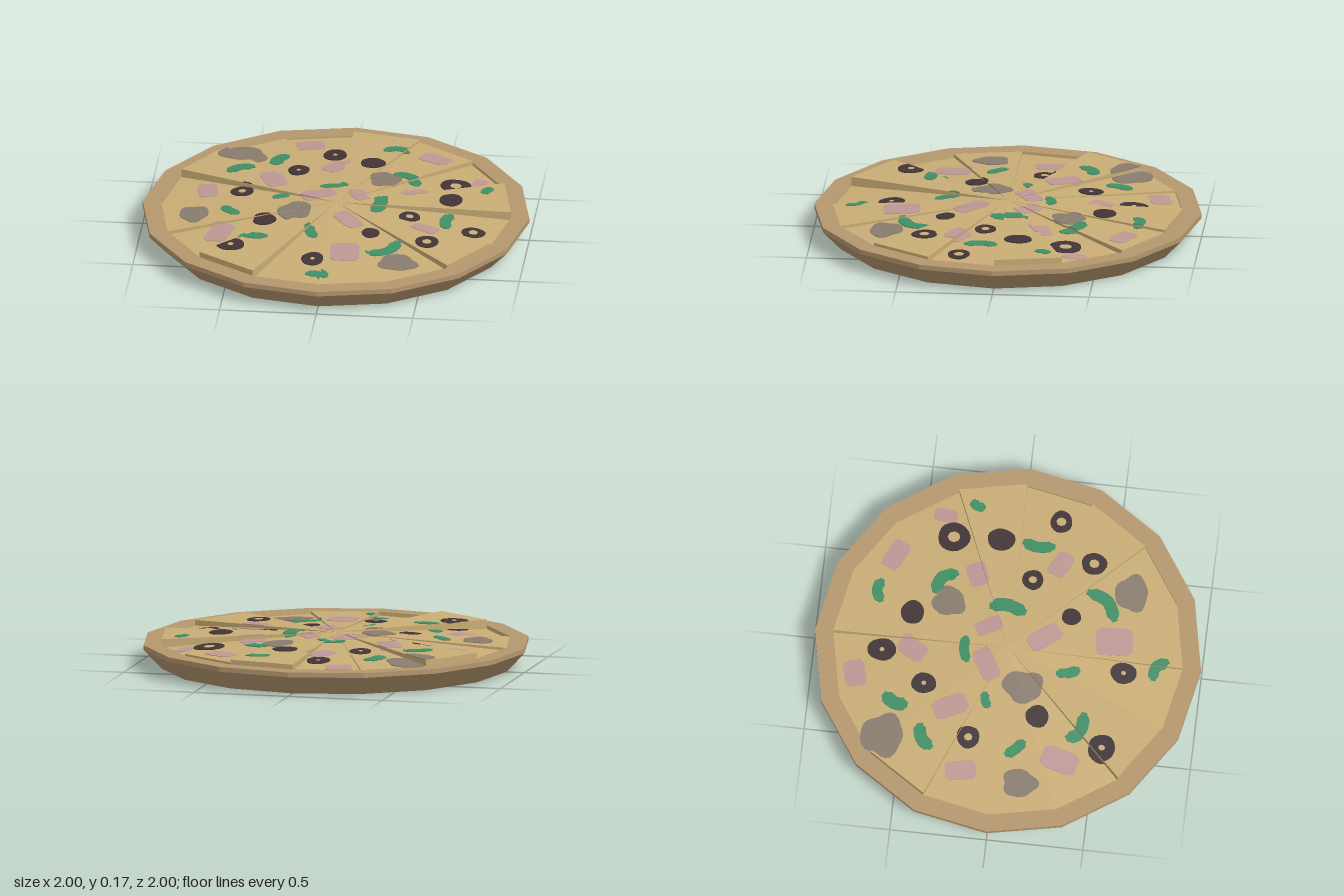
import * as THREE from 'three';
import { mergeGeometries } from 'three/addons/utils/BufferGeometryUtils.js';

const SIDES = 16, STEP = Math.PI * 2 / SIDES, R = 0.905, PEAK = 0.17, RIM = 0.125;
// Height of the outer edge of each slice, going round from +x towards +z
const EDGE = [0.11, 0.14, 0.11, 0.125, 0.105, 0.155, 0.105, 0.125,
  0.11, 0.155, 0.125, 0.115, 0.15, 0.135, 0.11, 0.155];

const material = (name, color) => {
  const m = new THREE.MeshStandardMaterial({ color, side: THREE.DoubleSide });
  m.name = name;
  return m;
};

const mesh = (name, geometry, mat) => {
  const m = new THREE.Mesh(geometry, mat);
  m.name = name;
  return m;
};

const corner = (k, y) => [R * Math.cos(k * STEP), y, R * Math.sin(k * STEP)];

// Height of the tilted plane of one slice
function sliceHeight(s, x, z) {
  const mid = (s + 0.5) * STEP;
  const t = (x * Math.cos(mid) + z * Math.sin(mid)) / (R * Math.cos(STEP / 2));
  return PEAK + (EDGE[s] - PEAK) * t;
}

// Wedge top, step to the previous slice, and step to the rim
function sliceGeometry(s) {
  const apex = [0, PEAK, 0], h = EDGE[s], prev = EDGE[(s + SIDES - 1) % SIDES];
  const a = corner(s, h), b = corner(s + 1, h);
  const c = corner(s, RIM), d = corner(s + 1, RIM);
  const tris = [apex, b, a, apex, corner(s, prev), a, a, b, d, a, d, c];
  const g = new THREE.BufferGeometry();
  g.setAttribute('position', new THREE.Float32BufferAttribute(tris.flat(), 3));
  g.computeVertexNormals();
  return g;
}

// Keep the part of a polygon where the signed distance is positive
function clip(poly, side) {
  const out = [];
  poly.forEach((p, i) => {
    const q = poly[(i + 1) % poly.length], dp = side(p), dq = side(q);
    if (dp >= 0) out.push(p);
    if (dp * dq < 0) out.push(p.clone().lerp(q, dp / (dp - dq)));
  });
  return out;
}

// Cut an outline at the slice borders and lay thin plates on the slices
function plates(poly, thick) {
  const parts = [];
  for (let s = 0; s < SIDES; s++) {
    const a = s * STEP, b = a + STEP;
    let piece = clip(poly, p => p.y * Math.cos(a) - p.x * Math.sin(a));
    piece = clip(piece, p => p.x * Math.sin(b) - p.y * Math.cos(b));
    if (piece.length < 3 || Math.abs(THREE.ShapeUtils.area(piece)) < 1e-5) continue;
    const shape = new THREE.Shape(piece.map(p => new THREE.Vector2(p.x, -p.y)));
    const g = new THREE.ExtrudeGeometry(shape, { depth: thick, bevelEnabled: false });
    g.rotateX(-Math.PI / 2);
    const pos = g.attributes.position;
    for (let i = 0; i < pos.count; i++) {
      pos.setY(i, pos.getY(i) - thick / 2 + sliceHeight(s, pos.getX(i), pos.getZ(i)));
    }
    g.computeVertexNormals();
    parts.push(g);
  }
  return parts;
}

// Closed outline around a centre; wobble gives a lumpy edge
function blob(x, z, rx, rz, wobble, n = 20, seed = 0) {
  return Array.from({ length: n }, (_, i) => {
    const t = i / n * Math.PI * 2;
    const r = 1 + wobble * (Math.sin(3 * t + seed) + 0.6 * Math.sin(5 * t + 2 * seed));
    return new THREE.Vector2(x + rx * r * Math.cos(t), z + rz * r * Math.sin(t));
  });
}

// Rectangle with cut corners
function chunk(x, z, w, d, deg) {
  const o = new THREE.Vector2();
  const e = 0.72;
  return [[-1, -e], [-e, -1], [e, -1], [1, -e], [1, e], [e, 1], [-e, 1], [-1, e]].map(([u, v]) =>
    new THREE.Vector2(u * w / 2, v * d / 2).rotateAround(o, deg * Math.PI / 180)
      .add(new THREE.Vector2(x, z)));
}

// Curved strip with rounded ends through three points
function strip(x0, z0, x1, z1, x2, z2, width) {
  const curve = new THREE.SplineCurve([[x0, z0], [x1, z1], [x2, z2]].map(p => new THREE.Vector2(...p)));
  const left = [], right = [], n = 10;
  for (let i = 0; i <= n; i++) {
    const t = i / n, p = curve.getPoint(t), d = curve.getTangent(t);
    const w = width / 2 * Math.max(0.45, Math.min(1, Math.sin(Math.PI * t) * 1.8));
    left.push(new THREE.Vector2(p.x - d.y * w, p.y + d.x * w));
    right.unshift(new THREE.Vector2(p.x + d.y * w, p.y - d.x * w));
  }
  return [...left, ...right];
}

export function createModel() {
  const group = new THREE.Group();
  const crustMat = material('crust brown', 0xb5976e);
  const cheeseMat = material('cheese tan', 0xc9ad75);
  const oliveMat = material('olive black', 0x413437);
  const pepperMat = material('pepper green', 0x3f8f66);
  const hamMat = material('ham pink', 0xbd9894);
  const mushroomMat = material('mushroom grey', 0x887c6e);

  // Crust: open shell with a flaring wall and a flat rim
  const profile = [[0.905, 0], [1, 0.1], [1, RIM], [R, RIM]].map(p => new THREE.Vector2(...p));
  const crust = new THREE.LatheGeometry(profile, SIDES).toNonIndexed();
  crust.computeVertexNormals();
  group.add(mesh('crust', crust, crustMat));

  // Slices
  const slices = new THREE.Group();
  slices.name = 'slices';
  for (let s = 0; s < SIDES; s++) slices.add(mesh('slice', sliceGeometry(s), cheeseMat));
  group.add(slices);

  const topping = (name, outlines, mat, thick) =>
    group.add(mesh(name, mergeGeometries(outlines.flatMap(o => plates(o, thick))), mat));

  // Ham: x, z, width, depth, turn
  topping('hamPieces', [
    [-0.21, -0.77, 0.14, 0.11, -15], [0.45, -0.63, 0.16, 0.1, 27], [-0.05, -0.49, 0.1, 0.15, 30],
    [-0.35, -0.26, 0.11, 0.18, -25], [-0.68, -0.17, 0.1, 0.16, -10], [-0.1, -0.1, 0.18, 0.1, -30],
    [0.11, -0.11, 0.08, 0.14, -30], [0.39, -0.2, 0.13, 0.1, -22], [0.7, -0.4, 0.07, 0.12, 8],
    [0.08, 0.18, 0.1, 0.18, -38], [0.49, 0.22, 0.14, 0.1, 28], [-0.57, 0.33, 0.12, 0.19, 15],
    [0.1, 0.54, 0.15, 0.19, -4],
  ].map(p => chunk(...p)), hamMat, 0.005);

  // Mushrooms: x, z, radii
  topping('mushrooms', [
    [-0.54, -0.59, 0.12, 0.11], [0.22, -0.33, 0.08, 0.085], [-0.72, 0.14, 0.075, 0.09],
    [-0.2, 0.1, 0.085, 0.105], [0.38, 0.6, 0.1, 0.085],
  ].map((p, i) => blob(...p, 0.09, 28, i * 1.7)), mushroomMat, 0.006);

  // Pepper strips: three points and width
  topping('pepperStrips', [
    [0.18, -0.675, 0.24, -0.705, 0.31, -0.685, 0.055], [-0.36, -0.48, -0.355, -0.55, -0.31, -0.61, 0.07],
    [-0.59, -0.33, -0.54, -0.39, -0.46, -0.405, 0.065], [0.26, -0.41, 0.35, -0.38, 0.39, -0.3, 0.065],
    [-0.1, -0.2, -0.03, -0.225, 0.04, -0.22, 0.05], [-0.33, -0.06, -0.3, -0.085, -0.25, -0.09, 0.045],
    [0.75, -0.2, 0.755, -0.245, 0.785, -0.27, 0.05], [0.22, -0.12, 0.23, -0.02, 0.2, 0.07, 0.07],
    [0.6, 0.01, 0.575, 0.09, 0.59, 0.18, 0.06], [-0.58, 0.05, -0.54, 0.1, -0.49, 0.14, 0.055],
    [-0.11, 0.26, -0.1, 0.32, -0.07, 0.38, 0.055], [-0.45, 0.35, -0.41, 0.42, -0.31, 0.43, 0.065],
    [0.36, 0.37, 0.32, 0.48, 0.21, 0.53, 0.065], [-0.08, 0.76, -0.01, 0.765, 0.03, 0.83, 0.055],
  ].map(p => strip(...p)), pepperMat, 0.007);

  // Olives: x, z, radii, hole
  const olives = [
    [-0.07, -0.645, 0.06, 0.075, 0.012], [0.14, -0.51, 0.065, 0.06, 0], [-0.235, -0.41, 0.055, 0.065, 0.012],
    [0.585, -0.345, 0.08, 0.083, 0.03], [0.585, -0.1, 0.06, 0.072, 0], [-0.5, -0.15, 0.06, 0.058, 0.02],
    [0.39, 0.085, 0.055, 0.055, 0.02], [-0.35, 0.19, 0.06, 0.06, 0], [0.73, 0.195, 0.062, 0.056, 0.024],
    [0.21, 0.305, 0.046, 0.05, 0], [0.51, 0.39, 0.06, 0.066, 0.024], [-0.06, 0.605, 0.057, 0.068, 0.012],
    [-0.49, 0.54, 0.072, 0.07, 0.016],
  ];
  topping('olives', olives.map(([x, z, rx, rz], i) => blob(x, z, rx, rz, 0.025, 18, i)), oliveMat, 0.008);
  topping('oliveHoles', olives.filter(o => o[4]).map(([x, z, , , h]) => blob(x, z, h, h * 1.1, 0, 8)),
    cheeseMat, 0.0095);

  return group;
}
